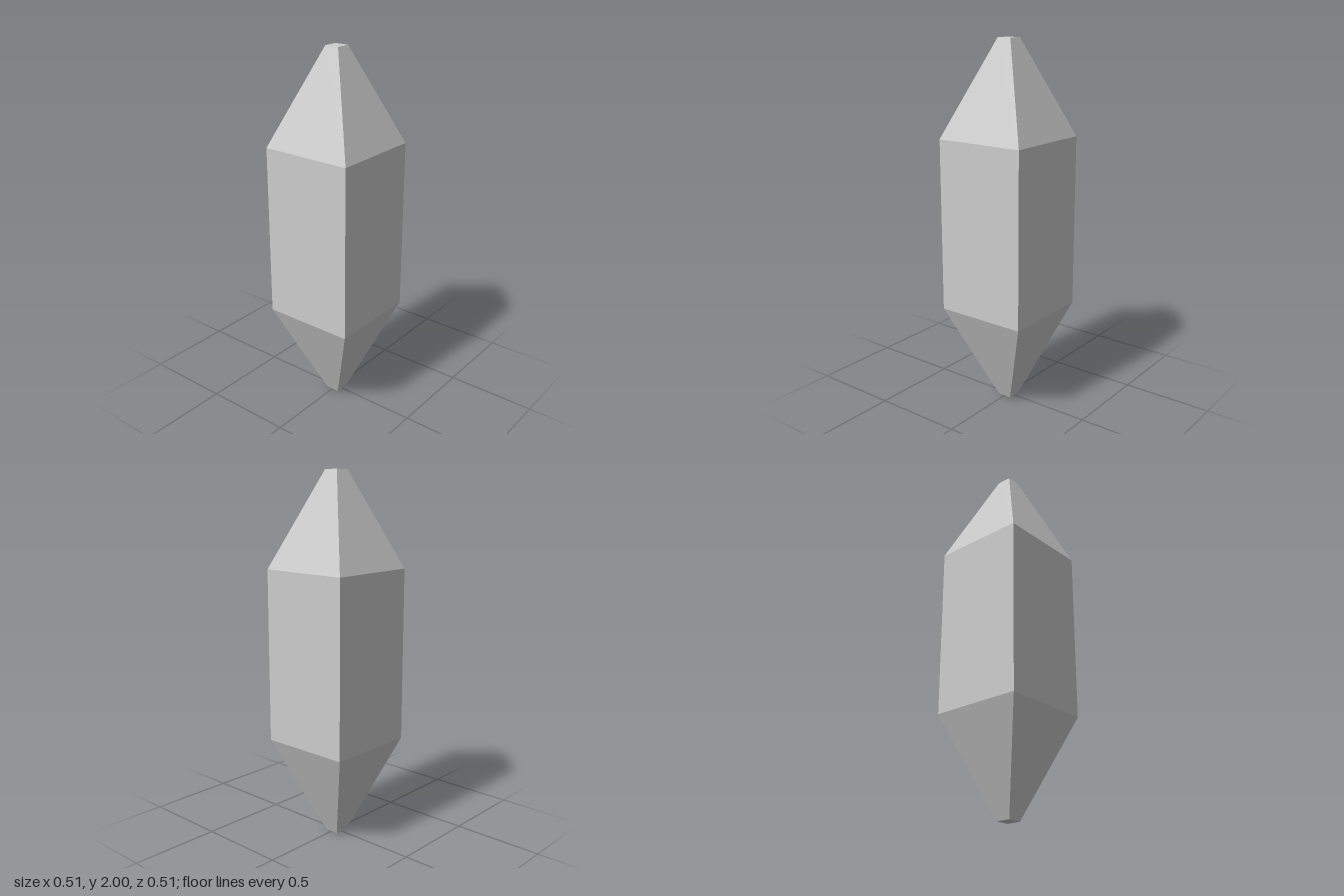
import * as THREE from 'three';

const material = new THREE.MeshStandardMaterial({ color: 0xcccccc, flatShading: true });

// Square section swept up a profile of [half width, height] points
function squarePart(name, profile) {
  const points = profile.map(([half, y]) => new THREE.Vector2(half * Math.SQRT2, y));
  const geometry = new THREE.LatheGeometry(points, 4, Math.PI / 4).toNonIndexed();
  geometry.computeVertexNormals();
  const mesh = new THREE.Mesh(geometry, material);
  mesh.name = name;
  return mesh;
}

export function createModel() {
  const crystal = new THREE.Group();
  crystal.name = 'crystal';

  const half = 0.256, tip = 0.04;
  const shoulderLow = 0.543, shoulderHigh = 1.487, top = 2;

  crystal.add(
    // Tapered foot with a small flat end
    squarePart('lowerPoint', [[0, 0], [tip, 0], [half, shoulderLow]]),
    // Straight square shaft
    squarePart('shaft', [[half, shoulderLow], [half, shoulderHigh]]),
    // Tapered head with a small flat end
    squarePart('upperPoint', [[half, shoulderHigh], [tip, top], [0, top]]),
  );
  return crystal;
}
